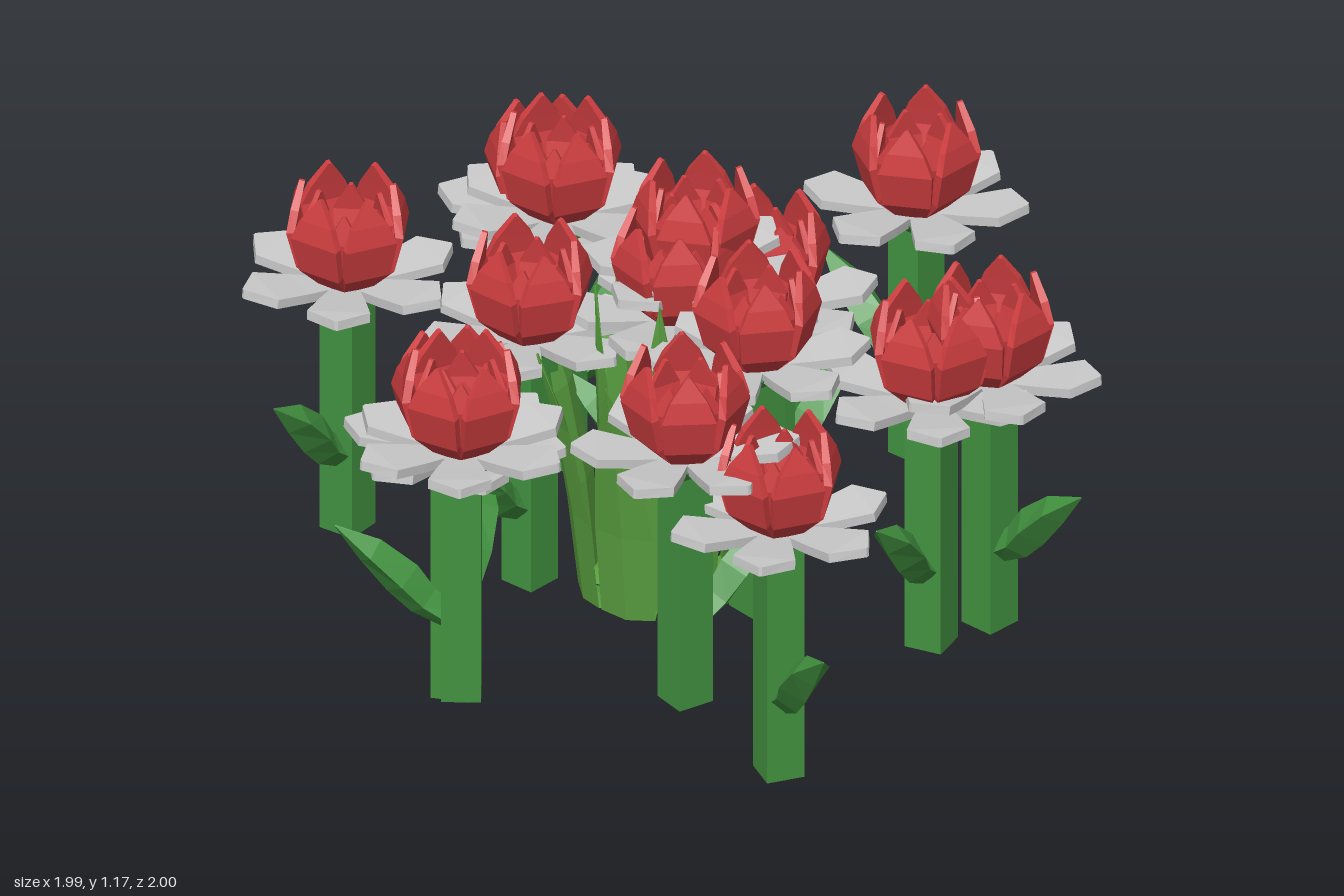
import * as THREE from 'three';

const mat = (color, side = THREE.FrontSide) => new THREE.MeshStandardMaterial({ color, flatShading: true, side });
const green = mat(0x429240), red = mat(0xd03e40), white = mat(0xdededa);
const yellow = mat(0xf0d048), bladeGreen = mat(0x5aa040);
const stemGreen = mat(0x429240, THREE.DoubleSide);

// Blade running outward along +x; each section is [radius, height, half width, thickness].
function blade(sections, diamond = false) {
  const rings = sections.map(([r, y, w, t], i) => {
    const a = sections[Math.max(i - 1, 0)], b = sections[Math.min(i + 1, sections.length - 1)];
    const dir = new THREE.Vector2(b[0] - a[0], b[1] - a[1]).normalize();
    const nx = -dir.y * t / 2, ny = dir.x * t / 2;
    return diamond
      ? [[r, y, w], [r + nx, y + ny, 0], [r, y, -w], [r - nx, y - ny, 0]]
      : [[r + nx, y + ny, w], [r + nx, y + ny, -w], [r - nx, y - ny, -w], [r - nx, y - ny, w]];
  });
  const pos = [];
  const quad = (a, b, c, d) => pos.push(...a, ...b, ...c, ...a, ...c, ...d);
  for (let i = 0; i < rings.length - 1; i++) {
    for (let k = 0; k < 4; k++) {
      const n = (k + 1) % 4;
      quad(rings[i][k], rings[i + 1][k], rings[i + 1][n], rings[i][n]);
    }
  }
  quad(...rings[0]);
  quad(...rings[rings.length - 1].slice().reverse());
  const g = new THREE.BufferGeometry();
  g.setAttribute('position', new THREE.Float32BufferAttribute(pos, 3));
  g.computeVertexNormals();
  return g;
}

function add(parent, name, geometry, material, y = 0, turn = 0) {
  const m = new THREE.Mesh(geometry, material);
  m.name = name;
  m.position.y = y;
  m.rotation.y = turn;
  parent.add(m);
}

function ring(parent, name, geometry, material, count, offset = 0) {
  const g = new THREE.Group();
  g.name = name + 's';
  for (let i = 0; i < count; i++) add(g, name, geometry, material, 0, offset + i * Math.PI * 2 / count);
  parent.add(g);
}

// Square stem, open at the foot, with a flared collar on top.
const stemGeo = new THREE.CylinderGeometry(0.067, 0.067, 0.64, 4, 1, true);
stemGeo.rotateY(Math.PI / 4);
const collarGeo = new THREE.CylinderGeometry(0.105, 0.075, 0.03, 4);
collarGeo.rotateY(Math.PI / 4);
const cupGeo = new THREE.CylinderGeometry(0.095, 0.06, 0.07, 6);
const heartGeo = new THREE.ConeGeometry(0.048, 0.05, 6);
const leafGeo = blade([
  [0.02, 0.2, 0.035, 0.06], [0.09, 0.25, 0.04, 0.085], [0.14, 0.31, 0.052, 0.1],
  [0.215, 0.385, 0.048, 0.075], [0.3, 0.45, 0.002, 0.004]], true);
const whitePetalGeo = blade([
  [0.04, 0.655, 0.03, 0.024], [0.13, 0.67, 0.055, 0.024],
  [0.215, 0.685, 0.075, 0.024], [0.272, 0.69, 0.004, 0.024]]);
const outerPetalGeo = blade([
  [0.05, 0.67, 0.034, 0.02], [0.108, 0.73, 0.058, 0.02],
  [0.13, 0.82, 0.066, 0.02], [0.122, 0.87, 0.045, 0.02], [0.108, 0.93, 0.004, 0.014]]);
const innerPetalGeo = blade([
  [0.045, 0.68, 0.026, 0.016], [0.078, 0.74, 0.04, 0.016],
  [0.092, 0.81, 0.042, 0.016], [0.082, 0.88, 0.004, 0.012]]);

// One flower, its stem leaf pointing along +x.
function flower() {
  const f = new THREE.Group();
  f.name = 'flower';
  add(f, 'stem', stemGeo, stemGreen, 0.32);
  add(f, 'stemLeaf', leafGeo, green);
  add(f, 'collar', collarGeo, green, 0.64);
  add(f, 'cup', cupGeo, red, 0.7, Math.PI / 6);
  add(f, 'flowerHeart', heartGeo, yellow, 0.76);
  ring(f, 'whitePetal', whitePetalGeo, white, 6, Math.PI / 6);
  ring(f, 'outerRedPetal', outerPetalGeo, red, 6);
  ring(f, 'innerRedPetal', innerPetalGeo, red, 6, Math.PI / 6);
  return f;
}

// Flower placement: x, foot height, z, then leaf direction in x and z.
const PLACES = [
  [0.135, 0.14, -0.73, -0.29, -0.03],
  [0, 0.02, -0.31, 0.04, -0.27],
  [0, 0.24, -0.02, 0.28, 0.03],
  [0, 0.16, 0.06, -0.27, 0.05],
  [0.33, 0.2, 0.19, -0.07, 0.27],
  [-0.29, 0.1, 0.25, -0.03, 0.28],
  [-0.72, 0.17, 0.39, 0, 0.29],
  [-0.22, 0, 0.65, -0.1, -0.27],
  [-0.13, 0.07, 0.75, -0.24, 0.165],
  [0.4, 0.15, 0.58, 0.1, -0.27],
  [0.63, 0, 0.52, 0.24, 0.16],
  [0.7, 0.085, -0.24, 0.28, 0.04],
  [0.63, 0.07, -0.1, 0.05, 0.28],
  [-0.555, 0.12, -0.24, 0.01, -0.28],
  [-0.66, 0.035, -0.34, 0.2, -0.22],
];

export function createModel() {
  const model = new THREE.Group();
  model.name = 'flowerPatch';

  for (const [x, y, z, dx, dz] of PLACES) {
    const f = flower();
    f.position.set(x, y, z);
    f.rotation.y = Math.atan2(-dz, dx);
    model.add(f);
  }

  // Tuft of long pointed leaves in the middle, gathered at the foot.
  const tuft = new THREE.Group();
  tuft.name = 'leafTuft';
  tuft.position.set(0.01, 0.12, 0.14);
  const outer = blade([
    [0.1, 0, 0.04, 0.02], [0.18, 0.02, 0.07, 0.03], [0.205, 0.25, 0.075, 0.03],
    [0.25, 0.5, 0.055, 0.025], [0.31, 0.7, 0.002, 0.006]], true);
  const inner = blade([
    [0.09, 0, 0.06, 0.03], [0.13, 0.35, 0.07, 0.03],
    [0.145, 0.6, 0.045, 0.02], [0.16, 0.85, 0.002, 0.006]], true);
  ring(tuft, 'outerBlade', outer, bladeGreen, 8, 0.2);
  ring(tuft, 'innerBlade', inner, bladeGreen, 5, Math.PI / 10);
  model.add(tuft);

  return model;
}
